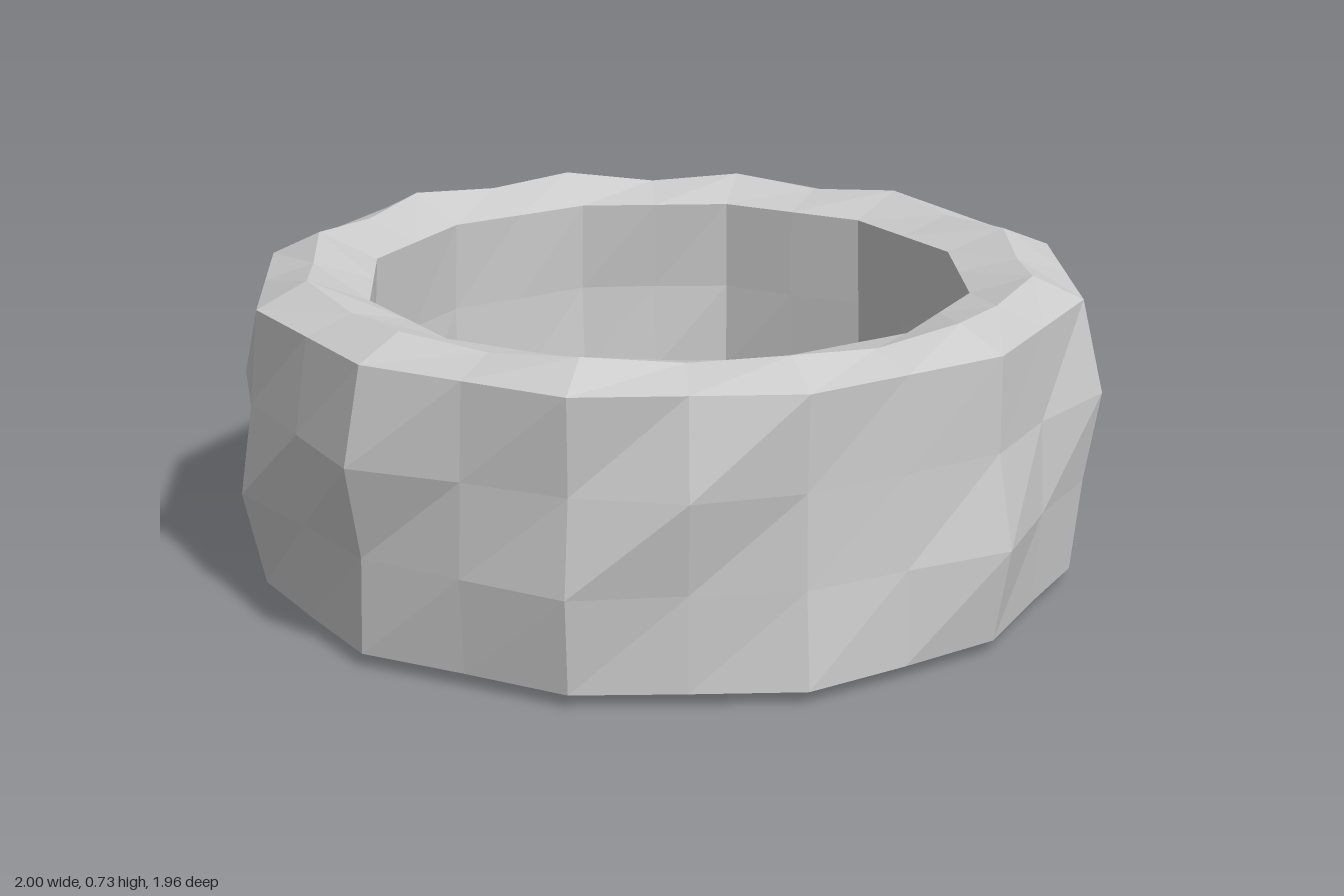
import * as THREE from 'three';

const SIDES = 24;      // twelve corners plus the middle of each side
const CENTRE_Z = 0.02;

// Outer radii of the two uneven stone courses, counted from +x towards +z
const LOW = [1, .95, .965, .93, .99, .93, .945, .93, .98, .94, .96, .94,
  1, .95, .98, .93, .96, .93, .995, .94, .945, .93, .96, .97];
const HIGH = [.965, .95, 1, .92, .95, .92, .94, .965, .945, .93, 1, .95,
  .97, .97, .96, .93, .99, .94, .97, .93, .985, .955, .97, .94];

// Radius of a twelve-sided ring: side middles lie on the chord
const ring = (r) => (i) => (i % 2 ? r * Math.cos(Math.PI / 12) : r);

// Small repeatable unevenness
const rough = (i, k, amount) => amount * Math.sin(i * 12.9 + k * 4.7 + Math.sin(i * 5.3 + k));

function wallGeometry() {
  // Closed cross-section: [radius by side, height by side]
  const flat = (y) => () => y;
  const section = [
    [(i) => ring(.955)(i) + rough(i, 1, .012), flat(.03)],
    [(i) => LOW[i], flat(.245)],
    [(i) => HIGH[i], flat(.455)],
    [ring(.95), flat(.67)],
    [ring(.835), (i) => (i % 2 ? .705 : .722) + rough(i, 2, .006)],
    [ring(.695), flat(.67)],
    [(i) => ring(.7)(i) + rough(i, 3, .012), flat(.455)],
    [(i) => ring(.7)(i) + rough(i, 4, .012), flat(.245)],
    [ring(.7), flat(.03)],
    [ring(.83), flat(0)],
  ];
  const n = section.length, pos = [], index = [];
  for (let i = 0; i < SIDES; i++) {
    const a = (i / SIDES) * Math.PI * 2;
    section.forEach(([radius, height], j) => {
      const r = radius(i);
      pos.push(r * Math.cos(a), height(i), CENTRE_Z + r * Math.sin(a));
      const i2 = (i + 1) % SIDES, j2 = (j + 1) % n;
      const p = i * n + j, up = i * n + j2, side = i2 * n + j, far = i2 * n + j2;
      index.push(p, up, side, side, up, far);
    });
  }
  const geo = new THREE.BufferGeometry();
  geo.setAttribute('position', new THREE.Float32BufferAttribute(pos, 3));
  geo.setIndex(index);
  geo.computeVertexNormals();
  return geo;
}

export function createModel() {
  const group = new THREE.Group();
  group.name = 'roundBasin';

  // Rough ring wall with a ridged rim
  const wall = new THREE.Mesh(wallGeometry(),
    new THREE.MeshStandardMaterial({ color: 0xcccccc, flatShading: true }));
  wall.name = 'ringWall';

  // Thin floor across the opening, seen from above and below
  const floor = new THREE.Mesh(new THREE.CircleGeometry(.71, 12),
    new THREE.MeshStandardMaterial({ color: 0xcccccc, flatShading: true, side: THREE.DoubleSide }));
  floor.name = 'innerFloor';
  floor.rotation.x = -Math.PI / 2;
  floor.position.set(0, .235, CENTRE_Z);

  group.add(wall, floor);
  return group;
}
